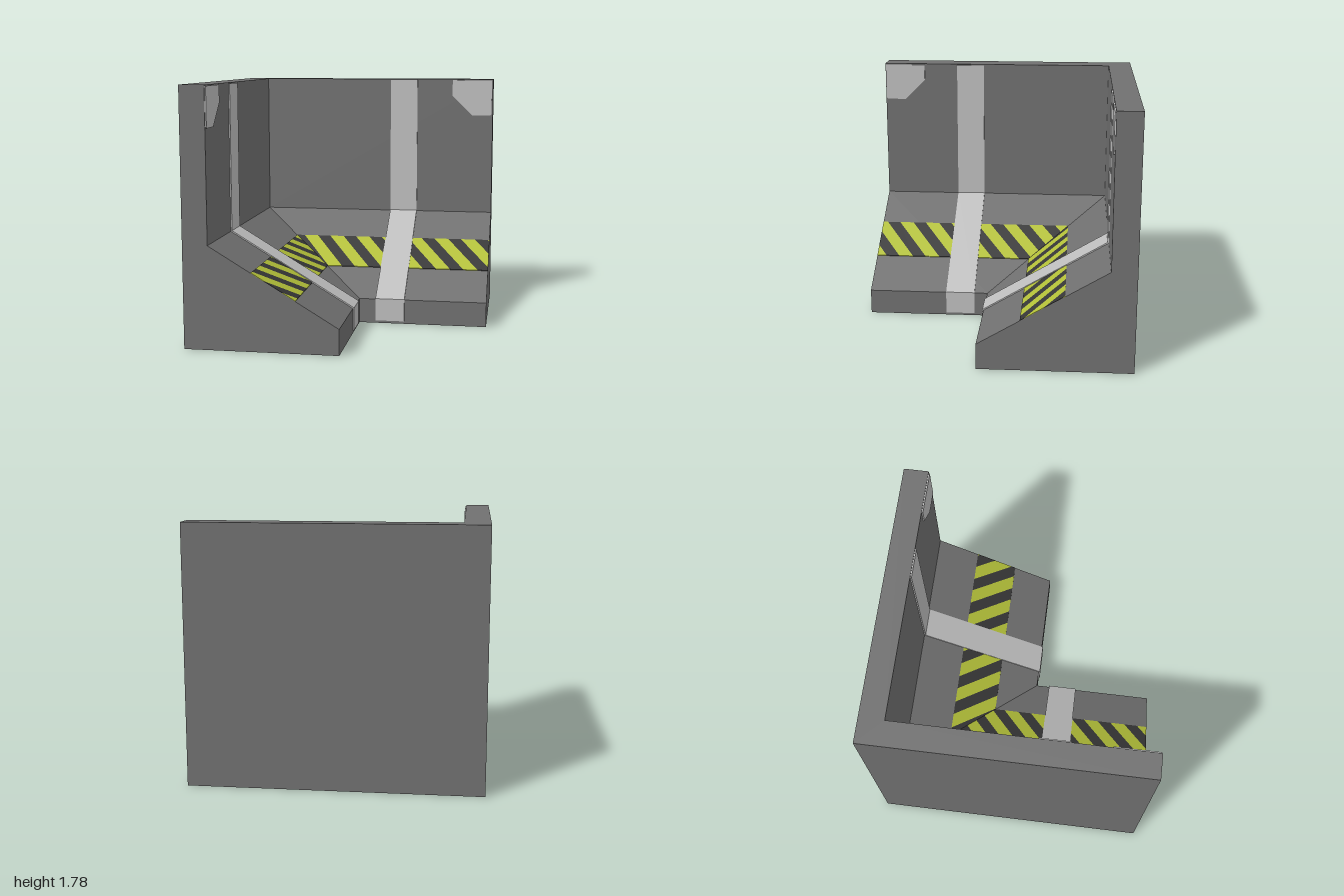
import * as THREE from 'three';
import { mergeGeometries } from 'three/addons/utils/BufferGeometryUtils.js';

const HALF_Z = 0.978, HEIGHT = 1.78;
const WALL = 0.175, LEDGE = 1.065;      // wall thickness, ledge depth
const LIP = 0.18, SLOPE_TOP = 0.715;    // heights of the slope's ends
const STEP = (SLOPE_TOP - LIP) / (LEDGE - WALL);
const slopeY = (d) => SLOPE_TOP - (d - WALL) * STEP;

// Each leg maps s (along the wall), d (depth from its outer face) and y to space
const legs = [
  {
    name: 'back', flip: false, length: 2,
    at: (s, d, y) => [-1 + s, y, -HALF_Z + d],
    strip: [1.185, 1.4], plateEnd: 1.99, stripeStart: 1.47, slant: 0.245,
  },
  {
    name: 'side', flip: true, length: 2 * HALF_Z,
    at: (s, d, y) => [-1 + d, y, -HALF_Z + s],
    strip: [1.163, 1.378], plateEnd: 1.95, stripeStart: 1.82, slant: -0.245,
  },
];

// Joins two copies of a counter-clockwise outline, each placed by a function
function loft(outline, placeA, placeB, flip, capA = true, capB = true) {
  const pos = [];
  const tri = (a, b, c) => pos.push(...a, ...(flip ? c : b), ...(flip ? b : c));
  const A = outline.map((p) => placeA(...p));
  const B = outline.map((p) => placeB(...p));
  for (let i = 0; i < outline.length; i++) {
    const j = (i + 1) % outline.length;
    tri(A[i], B[i], B[j]);
    tri(A[i], B[j], A[j]);
  }
  const faces = THREE.ShapeUtils.triangulateShape(outline.map((p) => new THREE.Vector2(...p)), []);
  for (const [a, b, c] of faces) {
    if (capA) tri(A[a], A[b], A[c]);
    if (capB) tri(B[a], B[c], B[b]);
  }
  const geo = new THREE.BufferGeometry();
  geo.setAttribute('position', new THREE.Float32BufferAttribute(pos, 3));
  geo.computeVertexNormals();
  return geo;
}

// Keeps the part of a polygon where side(point) >= 0
function clip(poly, side) {
  const out = [];
  poly.forEach((p, i) => {
    const q = poly[(i + 1) % poly.length];
    const a = side(p), b = side(q);
    if (a >= 0) out.push(p);
    if (a * b < 0) {
      const t = a / (a - b);
      out.push([p[0] + (q[0] - p[0]) * t, p[1] + (q[1] - p[1]) * t]);
    }
  });
  return out;
}

export function createModel() {
  const mat = (name, color) => {
    const m = new THREE.MeshStandardMaterial({ color });
    m.name = name;
    return m;
  };
  const concrete = mat('dark grey wall', 0x707070);
  const metal = mat('light grey metal', 0xbebebe);
  const yellow = mat('warning yellow', 0xb3c039);
  const black = mat('warning black', 0x373737);

  const model = new THREE.Group();
  model.name = 'cornerWall';
  const add = (name, geo, material) => {
    const mesh = new THREE.Mesh(geo, material);
    mesh.name = name;
    model.add(mesh);
  };

  // Wall with sloped ledge, as a depth/height section
  const section = [[0, 0], [LEDGE, 0], [LEDGE, LIP], [WALL, SLOPE_TOP], [WALL, HEIGHT], [0, HEIGHT]];

  // Metal strip hugging the wall, slope and lip
  const t = 0.009, lift = 0.565 * t;
  const stripSection = [
    [LEDGE, 0.02], [LEDGE + t, 0.02], [LEDGE + t, LIP + lift], [WALL + t, SLOPE_TOP + lift],
    [WALL + t, 1.772], [WALL, 1.772], [WALL, SLOPE_TOP], [LEDGE, LIP],
  ];

  for (const leg of legs) {
    const { name, at, flip, length } = leg;

    // Legs meet in a mitre at s = d
    add(name + 'Wall', loft(section, (d, y) => at(d, d, y), (d, y) => at(length, d, y), flip, false), concrete);

    add(name + 'Strip', loft(stripSection,
      (d, y) => at(leg.strip[0], d, y), (d, y) => at(leg.strip[1], d, y), flip), metal);

    // Chamfered plate in the upper outer corner
    const e = leg.plateEnd;
    const plate = [[e - 0.31, 1.65], [e - 0.155, 1.495], [e - 0.01, 1.495], [e, 1.505], [e, 1.772], [e - 0.31, 1.772]];
    add(name + 'CornerPlate', loft(plate, (s, y) => at(s, WALL + t, y), (s, y) => at(s, WALL, y), flip), metal);

    // Hazard band: alternating slanted stripes clipped to the mitre and the end
    const d0 = 0.47, d1 = 0.77, period = 0.208, dark = 0.1;
    const stripes = { yellow: [], black: [] };
    const addStripe = (list, a, b) => {
      let poly = [[a, d0], [b, d0], [b + leg.slant, d1], [a + leg.slant, d1]];
      poly = clip(poly, ([s, d]) => s - d);
      poly = clip(poly, ([s]) => length - s);
      if (poly.length < 3) return;
      list.push(loft(poly, (s, d) => at(s, d, slopeY(d)), (s, d) => at(s, d, slopeY(d) + 0.004), flip));
    };
    for (let k = -10; k <= 5; k++) {
      const a = leg.stripeStart + k * period;
      addStripe(stripes.black, a, a + dark);
      addStripe(stripes.yellow, a + dark, a + period);
    }
    add(name + 'YellowStripes', mergeGeometries(stripes.yellow), yellow);
    add(name + 'BlackStripes', mergeGeometries(stripes.black), black);
  }
  return model;
}
